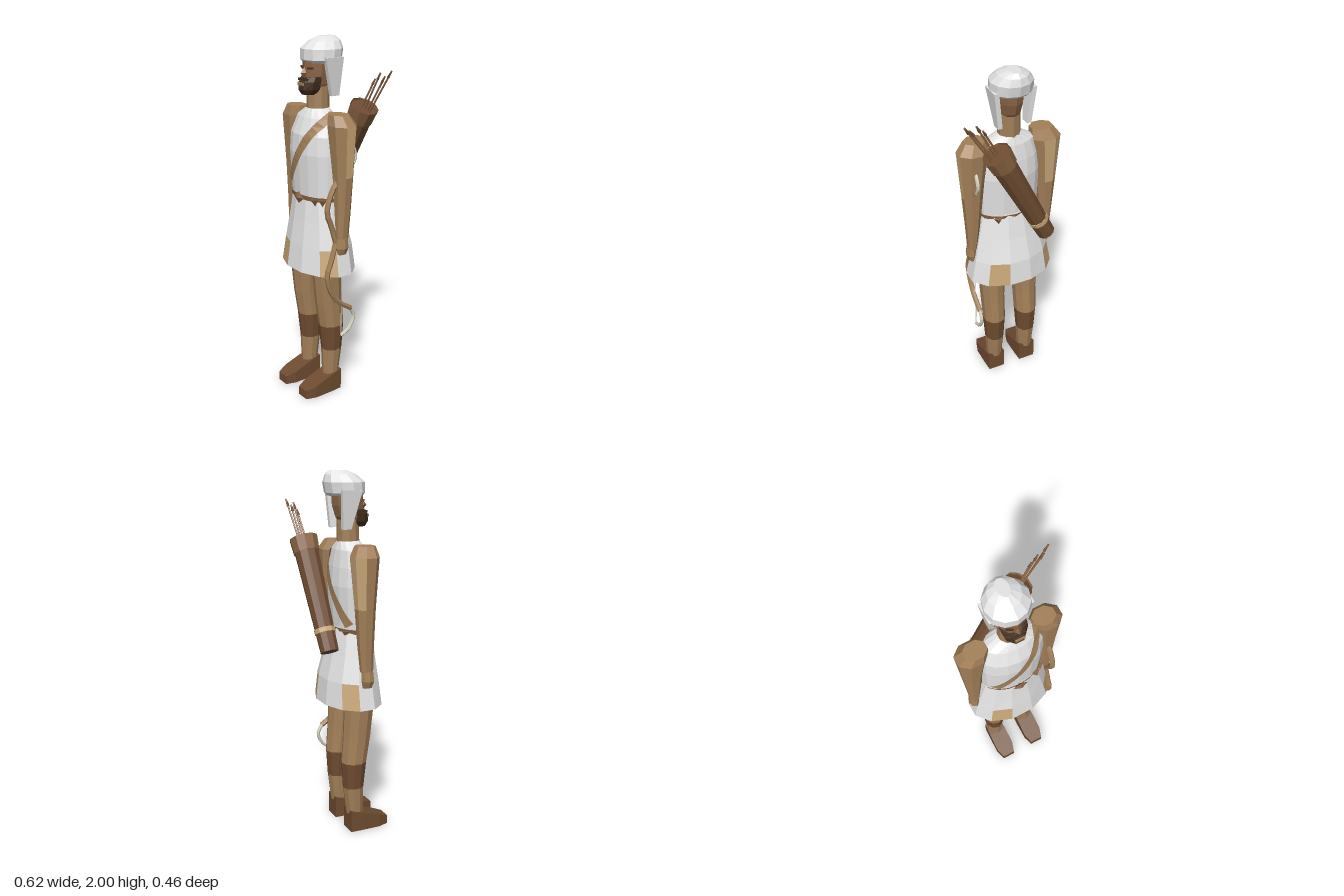
import * as THREE from 'three';
import { ConvexGeometry } from 'three/addons/geometries/ConvexGeometry.js';

const mat = (name, color) => new THREE.MeshStandardMaterial({ name, color, flatShading: true, side: THREE.DoubleSide });
const M = {
  cloth: mat('white cloth', 0xe4e4e4),
  patch: mat('tan patch', 0xc9a878),
  skin: mat('skin', 0xa38059),
  leather: mat('dark leather', 0x6f4c31),
  rim: mat('light leather', 0x886342),
  dark: mat('dark brown', 0x453020),
  face: mat('face', 0x8a6344),
  pale: mat('pale horn', 0xd6cfbc),
};
const C = -0.024; // middle of the body
const V = (x, y, z) => new THREE.Vector3(x, y, z);

export function createModel() {
  const root = new THREE.Group();
  root.name = 'archer';

  function add(name, geometry, material) {
    const mesh = new THREE.Mesh(geometry, material);
    mesh.name = name;
    root.add(mesh);
    return mesh;
  }

  // Skin over elliptical sections [y, cx, cz, rx, rz], listed bottom to top
  function loft(name, sections, n, mats, { phase = 0, caps = true, pick = () => 0 } = {}) {
    const pos = [], geo = new THREE.BufferGeometry();
    const list = Array.isArray(mats) ? mats : [mats];
    const P = ([y, cx, cz, rx, rz], j) => {
      const a = phase + (j / n) * Math.PI * 2;
      return [cx + rx * Math.sin(a), y, cz + rz * Math.cos(a)];
    };
    for (let i = 0; i < sections.length - 1; i++) {
      for (let j = 0; j < n; j++) {
        const a = P(sections[i], j), b = P(sections[i], j + 1);
        const c = P(sections[i + 1], j + 1), d = P(sections[i + 1], j);
        geo.addGroup(pos.length / 3, 6, pick(i, j));
        pos.push(...a, ...b, ...c, ...a, ...c, ...d);
      }
    }
    if (caps) {
      const lo = sections[0], hi = sections[sections.length - 1];
      geo.addGroup(pos.length / 3, n * 6, 0);
      for (let j = 0; j < n; j++) {
        pos.push(lo[1], lo[0], lo[2], ...P(lo, j + 1), ...P(lo, j));
        pos.push(hi[1], hi[0], hi[2], ...P(hi, j), ...P(hi, j + 1));
      }
    }
    geo.setAttribute('position', new THREE.Float32BufferAttribute(pos, 3));
    geo.computeVertexNormals();
    return add(name, geo, list);
  }

  // Straight rod between two points
  function rod(name, a, b, r0, r1, sides, material, open = false) {
    const m = add(name, new THREE.CylinderGeometry(r1, r0, a.distanceTo(b), sides, 1, open), material);
    m.position.copy(a).lerp(b, 0.5);
    m.quaternion.setFromUnitVectors(V(0, 1, 0), b.clone().sub(a).normalize());
    return m;
  }

  function box(name, w, h, d, x, y, z, material, rz = 0) {
    const m = add(name, new THREE.BoxGeometry(w, h, d), material);
    m.position.set(x, y, z);
    m.rotation.z = rz;
    return m;
  }

  // Legs, wraps and shoes
  for (const s of [-1, 1]) {
    const side = s > 0 ? 'left' : 'right', x = C + s * 0.103;
    loft(side + 'Leg', [
      [0.1, x, 0.033, 0.046, 0.047], [0.26, x, 0.025, 0.056, 0.06], [0.41, x, 0.028, 0.066, 0.073],
      [0.56, x, 0.045, 0.069, 0.08], [0.75, x, 0.058, 0.078, 0.085], [0.95, x, 0.055, 0.08, 0.088],
    ], 10, [M.skin, M.leather], { pick: (i) => (i === 1 ? 1 : 0) });
    const pts = [];
    for (const [z, w, h] of [[-0.008, 0.05, 0.125], [0.07, 0.054, 0.105], [0.17, 0.055, 0.07], [0.228, 0.037, 0.05]])
      for (const e of [-1, 1]) pts.push(V(x + e * w, 0, z), V(x + e * w, h, z));
    add(side + 'Shoe', new ConvexGeometry(pts), M.leather);
  }

  // Patched skirt
  loft('skirt', [
    [0.75, C, 0.04, 0.255, 0.17], [0.89, C, 0.038, 0.228, 0.155],
    [1.03, C, 0.045, 0.196, 0.126], [1.18, C, 0.052, 0.16, 0.1],
  ], 12, [M.cloth, M.patch], {
    phase: Math.PI / 12, caps: false,
    pick: (i, j) => (i === 0 && [1, 4, 7, 10].includes(j) ? 1 : 0),
  });

  // Tunic
  const tunic = [
    [1.165, C, 0.055, 0.17, 0.1], [1.4, C, 0.055, 0.18, 0.113], [1.5, C, 0.055, 0.172, 0.105],
    [1.59, C, 0.045, 0.14, 0.08], [1.635, C, 0.04, 0.065, 0.06],
  ];
  loft('tunic', tunic, 16, M.cloth);

  // Belt with buckle and hanging ends
  loft('belt', [[1.15, C, 0.055, 0.168, 0.104], [1.175, C, 0.055, 0.174, 0.107]], 16, M.rim, { caps: false });
  const buckle = add('buckle', new THREE.OctahedronGeometry(0.04), M.rim);
  buckle.scale.set(1.1, 0.85, 0.4);
  buckle.position.set(C, 1.16, 0.168);
  for (const [x, z] of [[0.08, 0.135], [0.115, 0.11], [0.07, -0.035], [-0.13, -0.02]]) {
    const end = add('beltEnd', new THREE.ConeGeometry(0.028, 0.04, 4), M.rim);
    end.rotation.x = Math.PI;
    end.position.set(x, 1.145, z);
  }

  // Arms with sleeve patches, and hands
  for (const s of [-1, 1]) {
    const side = s > 0 ? 'left' : 'right', tan = s > 0 ? [2] : [4, 5];
    loft(side + 'Arm', [
      [0.96, C + s * 0.222, 0.043, 0.027, 0.037], [1.1, C + s * 0.218, 0.038, 0.04, 0.045],
      [1.3, C + s * 0.215, 0.035, 0.058, 0.055], [1.57, C + s * 0.205, 0.035, 0.088, 0.075],
      [1.625, C + s * 0.187, 0.045, 0.064, 0.053],
    ], 8, [M.skin, M.patch], { phase: -Math.PI / 8, pick: (i, j) => (i === 2 && tan.includes(j) ? 1 : 0) });
    loft(side + 'Hand', [
      [0.872, C + s * 0.225, 0.047, 0.018, 0.028], [0.91, C + s * 0.228, 0.048, 0.03, 0.038],
      [0.965, C + s * 0.224, 0.045, 0.026, 0.035],
    ], 8, M.skin);
  }

  // Neck and head
  loft('neck', [[1.6, C, 0.04, 0.062, 0.062], [1.78, C, 0.035, 0.057, 0.06]], 10, M.skin);
  loft('head', [
    [1.715, C, 0.055, 0.045, 0.055], [1.76, C, 0.045, 0.062, 0.08], [1.82, C, 0.035, 0.07, 0.088],
    [1.92, C, 0.03, 0.075, 0.09],
  ], 10, M.face);
  loft('beard', [
    [1.708, C, 0.09, 0.038, 0.045], [1.735, C, 0.09, 0.058, 0.062], [1.775, C, 0.085, 0.067, 0.062],
    [1.8, C, 0.08, 0.069, 0.045],
  ], 8, M.dark, { phase: Math.PI / 8 });
  box('mouth', 0.05, 0.014, 0.008, C, 1.765, 0.147, M.skin);
  box('moustache', 0.075, 0.012, 0.03, C, 1.787, 0.122, M.dark);
  const nose = add('nose', new THREE.OctahedronGeometry(0.03), M.face);
  nose.scale.set(0.6, 1, 0.8);
  nose.position.set(C, 1.82, 0.124);
  for (const s of [-1, 1]) box('eye', 0.036, 0.01, 0.008, C + s * 0.036, 1.845, 0.112, M.dark, s * 0.1).rotation.y = s * 0.4;

  // Cap with hanging flaps
  loft('cap', [
    [1.87, C, 0.02, 0.1, 0.092], [1.885, C, 0.018, 0.114, 0.107], [1.94, C, 0.013, 0.113, 0.113],
    [1.978, C, -0.005, 0.08, 0.085], [2.0, C, -0.02, 0.032, 0.05],
  ], 12, M.cloth);
  for (const s of [-1, 1]) {
    const pts = [];
    for (const [y, x, z] of [[1.9, 0.115, 0.068], [1.9, 0.115, -0.045], [1.7, 0.092, 0.015], [1.7, 0.092, -0.033]])
      pts.push(V(C + s * x, y, z), V(C + s * (x - 0.025), y, z));
    add('capFlap', new ConvexGeometry(pts), M.cloth);
  }

  // Shoulder strap following the tunic, front and back
  function tunicDepth(x, y) {
    let i = 0;
    while (i < tunic.length - 2 && tunic[i + 1][0] < y) i++;
    const t = THREE.MathUtils.clamp((y - tunic[i][0]) / (tunic[i + 1][0] - tunic[i][0]), 0, 1);
    const [cz, rx, rz] = [2, 3, 4].map((k) => THREE.MathUtils.lerp(tunic[i][k], tunic[i + 1][k], t));
    const u = (x - C) / rx;
    return [cz, rz * Math.sqrt(Math.max(0, 1 - u * u)) + 0.008];
  }
  const strip = [], index = [], steps = 14;
  for (const s of [1, -1]) {
    for (let k = 0; k <= steps; k++) {
      const t = s > 0 ? k / steps : 1 - k / steps;
      for (const e of [-1, 1]) {
        const x = -0.155 + 0.268 * t + e * 0.02, y = 1.195 + 0.4 * t - e * 0.013;
        const [cz, d] = tunicDepth(x, y);
        strip.push(x, y + (t === 1 ? 0.02 : 0), cz + s * d);
      }
    }
  }
  for (let k = 0; k < steps * 2 + 1; k++) index.push(2 * k, 2 * k + 1, 2 * k + 3, 2 * k, 2 * k + 3, 2 * k + 2);
  const strap = new THREE.BufferGeometry();
  strap.setAttribute('position', new THREE.Float32BufferAttribute(strip, 3));
  strap.setIndex(index);
  strap.computeVertexNormals();
  add('strap', strap, M.skin);

  // Quiver slung across the back
  const q0 = V(-0.165, 1.07, -0.135), q1 = V(0.132, 1.64, -0.153);
  const along = (t) => q0.clone().lerp(q1, t);
  rod('quiver', q0, along(0.98), 0.05, 0.068, 10, M.leather);
  rod('quiverRing', along(0.16), along(0.2), 0.057, 0.058, 10, M.patch);
  rod('quiverRim', along(0.87), q1, 0.072, 0.078, 10, M.rim, true);
  rod('quiverMouth', along(0.97), along(0.985), 0.073, 0.074, 10, M.leather);

  // Arrows
  for (const [ax, az, bx, by, bz] of [
    [0.1, -0.14, 0.205, 1.79, -0.16], [0.12, -0.15, 0.24, 1.825, -0.165],
    [0.14, -0.155, 0.275, 1.81, -0.165], [0.155, -0.16, 0.307, 1.84, -0.182],
  ]) {
    const a = V(ax, 1.6, az), b = V(bx, by, bz);
    rod('arrow', a, b, 0.005, 0.005, 5, M.rim);
    rod('arrowEnd', a.clone().lerp(b, 0.85), b, 0.009, 0.004, 4, M.leather);
  }

  // Bow: two mirrored limbs with pale tips, and a string
  const bx = 0.19, by = 0.94;
  const limb = [[0, 0.08], [0.1, 0.11], [0.18, 0.138], [0.28, 0.11], [0.35, 0.06], [0.41, -0.025], [0.46, -0.048], [0.53, -0.015], [0.56, 0.04]];
  for (const s of [-1, 1]) {
    for (const [name, from, to, r, m] of [['bowLimb', 0, 5, 0.015, M.skin], ['bowTip', 5, 8, 0.01, M.pale]]) {
      const curve = new THREE.CatmullRomCurve3(limb.slice(from, to + 1).map(([d, z]) => V(bx, by + s * d, z)));
      add(name, new THREE.TubeGeometry(curve, 12, r, 6), m);
    }
  }
  rod('bowString', V(bx, by - 0.56, 0.04), V(bx, by + 0.56, 0.04), 0.003, 0.003, 4, M.pale);

  return root;
}
